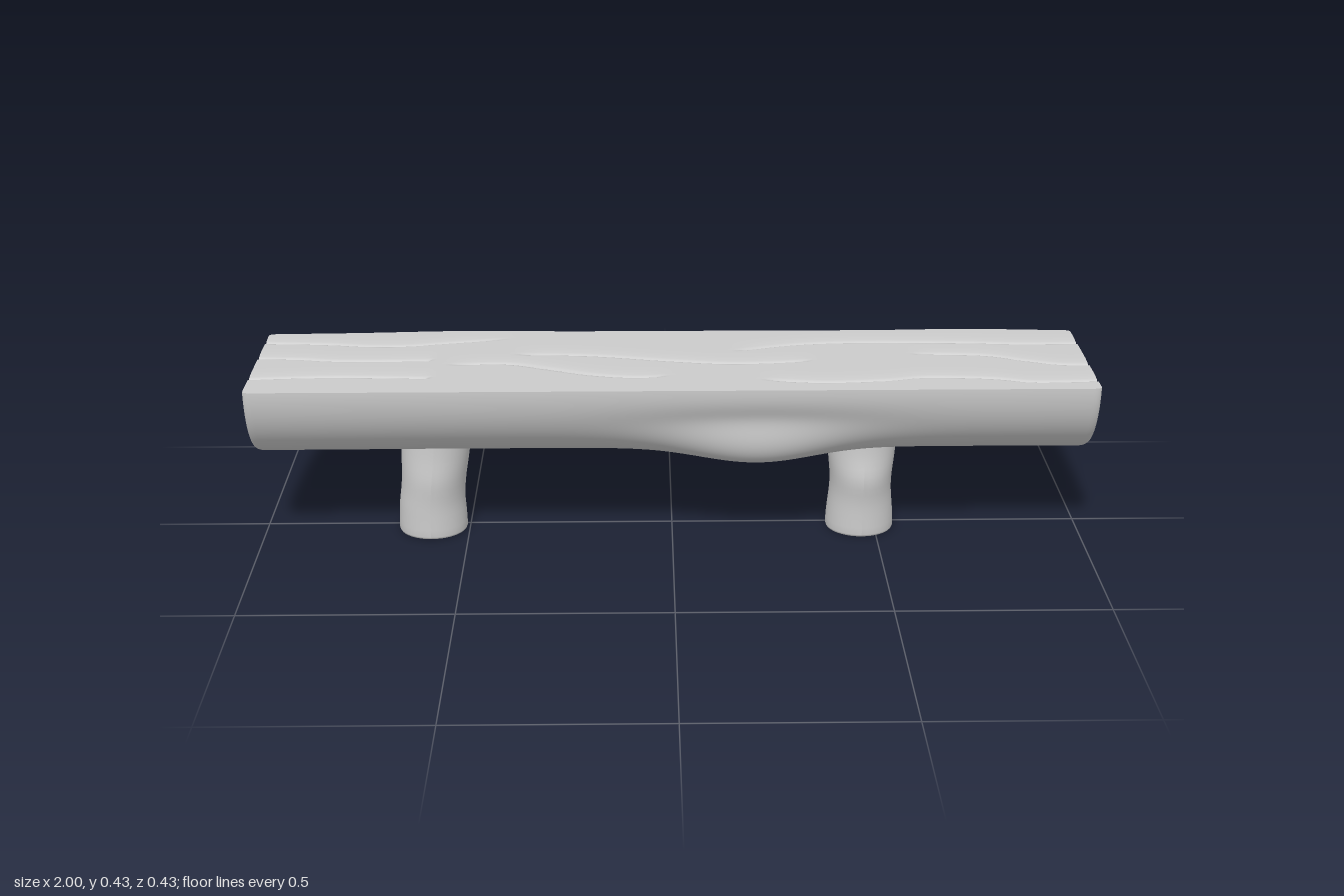
import * as THREE from 'three';

const TOP = 0.432, NX = 260, NZ = 110;
const material = new THREE.MeshStandardMaterial({ color: 0xcccccc, roughness: 0.8 });
const bump = (v, centre, width) => Math.exp(-(((v - centre) / width) ** 2));

// Grid surface: fn(u, v) gives a point, the front side faces du x dv
function surface(name, nu, nv, fn) {
  const geo = new THREE.PlaneGeometry(1, 1, nu, nv);
  const pos = geo.attributes.position, uv = geo.attributes.uv;
  for (let i = 0; i < pos.count; i++) pos.setXYZ(i, ...fn(uv.getX(i), uv.getY(i)));
  geo.computeVertexNormals();
  const mesh = new THREE.Mesh(geo, material);
  mesh.name = name;
  return mesh;
}

// Wood cracks: [fade-out length, [x, z] points along the crack]
const cracks = [
  [0.12, [[-1, -0.13], [-0.85, -0.12], [-0.75, -0.105], [-0.65, -0.105], [-0.55, -0.125], [-0.4, -0.15]]],
  [0.01, [[-1, -0.02], [-0.9, -0.015], [-0.8, 0], [-0.58, 0]]],
  [0.01, [[-1, 0.12], [-0.85, 0.11], [-0.75, 0.11], [-0.575, 0.12]]],
  [0.06, [[-0.54, 0.03], [-0.4, 0.025], [-0.3, 0.06], [-0.2, 0.1], [-0.1, 0.12], [-0.01, 0.115]]],
  [0.06, [[-0.38, -0.04], [-0.2, -0.03], [0, 0.01], [0.15, 0.03], [0.34, 0.015]]],
  [0.06, [[0.15, -0.055], [0.3, -0.1], [0.45, -0.115], [0.7, -0.11], [0.85, -0.1], [1, -0.1]]],
  [0.06, [[0.58, -0.03], [0.75, -0.02], [0.85, 0.02], [0.93, 0.047], [1, 0.05]]],
  [0.06, [[0.21, 0.14], [0.35, 0.16], [0.5, 0.15], [0.6, 0.13], [0.75, 0.14], [0.85, 0.165], [1, 0.16]]],
].map(([fade, pts]) => ({
  fade,
  line: new THREE.SplineCurve(pts.map(p => new THREE.Vector2(...p))).getPoints(80),
}));

function crackDepth(x, z) {
  let depth = 0;
  for (const { fade, line } of cracks) {
    const x0 = line[0].x, x1 = line[line.length - 1].x;
    if (x < x0 - 1e-6 || x > x1 + 1e-6) continue;
    const k = Math.max(1, line.findIndex(p => p.x >= x - 1e-6));
    const a = line[k - 1], b = line[k];
    const d = z - (a.y + (b.y - a.y) * (x - a.x) / (b.x - a.x));
    const start = x0 <= -0.99 ? 1 : Math.min(1, (x - x0) / fade);
    const end = x1 >= 0.99 ? 1 : Math.min(1, (x1 - x) / fade);
    // narrow cut, with a soft shoulder on the back side
    const cut = 0.007 * bump(d, 0, 0.006) + 0.003 * bump(d, 0, d < 0 ? 0.025 : 0.006);
    depth = Math.max(depth, cut * Math.max(0, Math.min(start, end)));
  }
  return depth;
}

// Position along the log, with rings packed closer towards the rounded ends
function along(u) {
  const s = 2 * u - 1;
  return s * (3 - s * s) / 2;
}

// Underside of the half log: angle a runs from back edge (0) to front edge (PI)
function hull(x, v) {
  const a = v * Math.PI;
  const t = Math.min(1, Math.max(0, (Math.abs(x) - 0.98) / 0.02));
  const inset = 0.01 * (1 - Math.sqrt(1 - t * t));
  const back = -0.19 - 0.01 * (1 - x * x), front = 0.219;
  const r = (front - back) / 2 - inset, h = TOP - 0.221 - inset;
  const swell = 0.045 * bump(x, 0.2, 0.2) * bump(a, 2.25, 0.37)
    + 0.034 * (bump(x, -0.52, 0.2) + bump(x, 0.74, 0.17)) * bump(a, 0.5, 0.45)
    - 0.012 * bump(x, 0.2, 0.25) * bump(a, 2.7, 0.2);
  return [x, TOP - Math.sin(a) * (h + swell), (front + back) / 2 - Math.cos(a) * (r + swell)];
}

// Flat sawn top, spanning the two edges of the underside
function plank(x, v) {
  const back = hull(x, 0)[2], front = hull(x, 1)[2];
  const z = back + (front - back) * v;
  const edge = Math.min(1, Math.min(v, 1 - v) * 20);
  return [x, TOP - crackDepth(x, z) * edge, z];
}

// Sawn end face between the underside and the top
function endFace(side) {
  return surface(side > 0 ? 'leftEnd' : 'rightEnd', 1, NZ, (u, v) => {
    const onTop = side > 0 ? u : 1 - u;
    return onTop > 0.5 ? plank(side, v) : hull(side, v);
  });
}

// Stub leg: lathe profile, then bent and swollen along its height
function leg(name, x, lean, waist, knotSize) {
  const profile = [[0, 0], [0.074, 0], [0.079, 0.001], [0.081, 0.006]];
  for (let i = 1; i <= 14; i++) profile.push([0.081, 0.006 + i * 0.0175]);
  const geo = new THREE.LatheGeometry(profile.map(p => new THREE.Vector2(...p)), 40);
  const pos = geo.attributes.position;
  for (let i = 0; i < pos.count; i++) {
    const y = pos.getY(i), px = pos.getX(i), pz = pos.getZ(i);
    const thin = 1.04 - waist * bump(y, 0.12, 0.07);
    const knot = knotSize * bump(y, 0.15, 0.045) * pz / 0.081;
    pos.setXYZ(i, px * thin + lean * Math.max(0, y - 0.08), y, pz + knot);
  }
  geo.computeVertexNormals();
  const mesh = new THREE.Mesh(geo, material);
  mesh.name = name;
  mesh.position.set(x, 0, 0.02);
  return mesh;
}

export function createModel() {
  const bench = new THREE.Group();
  bench.name = 'logBench';

  const seat = new THREE.Group();
  seat.name = 'seat';
  seat.add(
    surface('seatTop', NX, NZ, (u, v) => plank(along(u), 1 - v)),
    surface('seatUnderside', NX, NZ, (u, v) => hull(along(u), v)),
    endFace(1),
    endFace(-1),
  );

  bench.add(seat, leg('rightLeg', -0.59, 0.1, 0.07, 0.005), leg('leftLeg', 0.464, 0, 0.11, 0.01));
  return bench;
}
